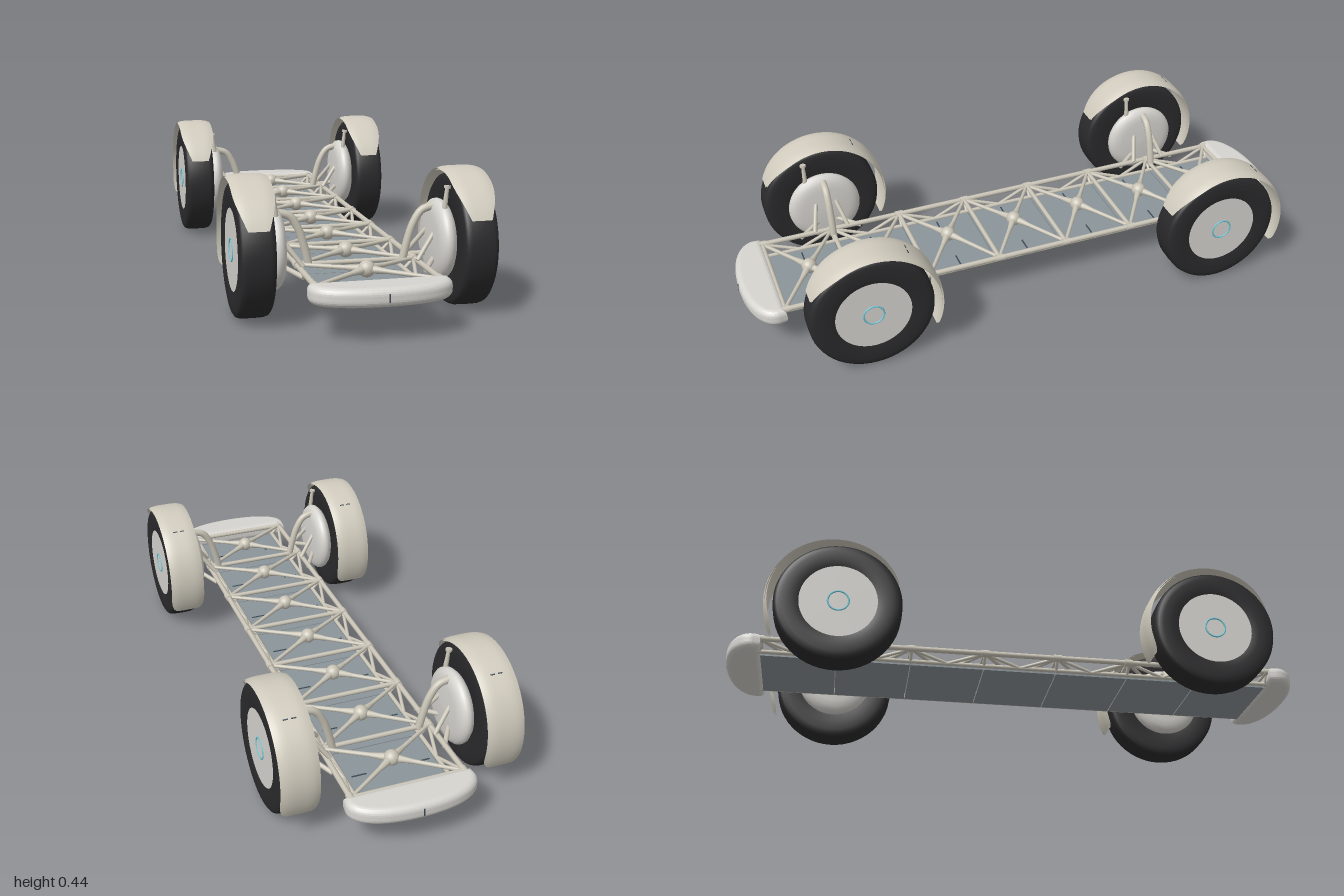
import * as THREE from 'three';

const mat = (color, side = THREE.FrontSide) => new THREE.MeshStandardMaterial({ color, side });
const M = {
  tube: mat(0xc9c4b6), shell: mat(0xd0cbbd, THREE.DoubleSide), hub: mat(0xd6d4cf), tire: mat(0x2a2a2c),
  panel: mat(0x8b9499), slot: mat(0x3f4b55), ring: mat(0x6cc5d6),
};
const V = (x, y, z) => new THREE.Vector3(x, y, z);

function add(parent, name, geo, material, x = 0, y = 0, z = 0) {
  const m = new THREE.Mesh(geo, material);
  m.name = name;
  m.position.set(x, y, z);
  parent.add(m);
  return m;
}

// Round bar between two points, optionally tapered
function rod(parent, name, a, b, r0, r1 = r0) {
  const d = b.clone().sub(a);
  const m = add(parent, name, new THREE.CylinderGeometry(r1, r0, d.length(), 12), M.tube);
  m.position.copy(a).addScaledVector(d, 0.5);
  m.quaternion.setFromUnitVectors(V(0, 1, 0), d.normalize());
  return m;
}

// Turned part about the x axis; points are [radius, distance outwards]
function turned(pts, s) {
  const g = new THREE.LatheGeometry(pts.map(p => new THREE.Vector2(...p)), 56);
  return g.rotateZ(-s * Math.PI / 2);
}

// Curved mudguard sheet: tapered at its front end, rounded at its rear end
function fenderSheet(radius) {
  const g = new THREE.PlaneGeometry(1, 1, 10, 56);
  const p = g.attributes.position;
  const rad = Math.PI / 180;
  for (let i = 0; i < p.count; i++) {
    const u = p.getX(i) * 2;
    const deg = 25 + (p.getY(i) + 0.5) * 183;
    let w = 1;
    if (deg < 62) w = 0.5 + 0.5 * Math.sin((deg - 25) / 37 * Math.PI / 2);
    if (deg > 194) w = 0.72 + 0.28 * Math.sqrt(Math.max(0, 1 - ((deg - 194) / 14) ** 2));
    const r = radius - 0.007 * (u * w) ** 4;
    p.setXYZ(i, u * w * 0.0625, r * Math.sin(deg * rad), r * Math.cos(deg * rad));
  }
  g.computeVertexNormals();
  return g;
}

function createWheel(s) {
  const g = new THREE.Group();
  g.name = 'wheel';
  const R = 0.209;
  add(g, 'tire', turned([[0.1, 0.292], [0.127, 0.289], [0.15, 0.285], [0.18, 0.285], [0.196, 0.287], [0.204, 0.293],
    [0.208, 0.305], [R, 0.339], [0.208, 0.373], [0.204, 0.385], [0.196, 0.39], [0.18, 0.393], [0.15, 0.393],
    [0.127, 0.389], [0.12, 0.386]], s), M.tire);
  const disc = add(g, 'wheelDisc', new THREE.CylinderGeometry(0.127, 0.127, 0.096, 56), M.hub, s * 0.341);
  disc.rotation.z = Math.PI / 2;
  const ring = add(g, 'wheelRing', new THREE.TorusGeometry(0.034, 0.003, 8, 40), M.ring, s * 0.389);
  ring.rotation.y = Math.PI / 2;

  // Domed inboard motor hub
  add(g, 'hubMotor', turned([[0, 0.231], [0.035, 0.232], [0.085, 0.235], [0.105, 0.239], [0.12, 0.246], [0.128, 0.256],
    [0.129, 0.266], [0.126, 0.275], [0.115, 0.286], [0.1, 0.293]], s), M.hub);

  // Mudguard with two small slots
  const fender = new THREE.Group();
  fender.name = 'fender';
  fender.position.set(s * 0.3375, 0, -0.012);
  for (const r of [0.227, 0.222]) add(fender, 'fenderSheet', fenderSheet(r), M.shell);
  for (const x of [-0.013, 0.013]) {
    const slot = add(fender, 'fenderSlot', new THREE.BoxGeometry(0.016, 0.002, 0.004), M.slot, x, 0.191, -0.122);
    slot.rotation.x = -0.57;
  }
  g.add(fender);

  // Steering pin above the hub
  rod(g, 'steeringPin', V(s * 0.262, 0.095, 0.06), V(s * 0.271, 0.175, 0.06), 0.009, 0.006);
  rod(g, 'steeringPinCap', V(s * 0.271, 0.172, 0.06), V(s * 0.272, 0.18, 0.06), 0.011);

  // Suspension
  const arm = new THREE.CatmullRomCurve3([V(s * 0.15, -0.06, 0), V(s * 0.163, -0.005, 0), V(s * 0.183, 0.055, 0),
    V(s * 0.21, 0.095, 0), V(s * 0.248, 0.108, 0)]);
  add(g, 'upperArm', new THREE.TubeGeometry(arm, 24, 0.0125, 14), M.tube);
  for (const k of [-1, 1]) {
    rod(g, 'lowerArm', V(s * 0.19, -0.07, k * 0.11), V(s * 0.243, -0.05, k * 0.03), 0.008);
    rod(g, 'strut', V(s * 0.18, -0.05, k * 0.06), V(s * 0.24, 0.03, k * 0.035), 0.0075);
  }
  return g;
}

// Rounded D-shaped bumper, s = 1 front, -1 back
function createBumper(s) {
  const g = new THREE.Group();
  g.name = s > 0 ? 'frontBumper' : 'rearBumper';
  const sh = new THREE.Shape();
  sh.moveTo(-0.192, 0.9);
  sh.lineTo(0.192, 0.9);
  sh.bezierCurveTo(0.2, 0.935, 0.14, 0.978, 0, 0.978);
  sh.bezierCurveTo(-0.14, 0.978, -0.2, 0.935, -0.192, 0.9);
  const geo = new THREE.ExtrudeGeometry(sh, {
    depth: 0.014, bevelEnabled: true, bevelSize: 0.022, bevelThickness: 0.022, bevelSegments: 6, curveSegments: 24,
  });
  geo.rotateX(Math.PI / 2);
  add(g, 'bumperBody', geo, M.hub, 0, 0.143, 0);
  add(g, 'bumperSlot', new THREE.BoxGeometry(0.004, 0.026, 0.004), M.slot, 0, 0.137, 0.999);
  if (s < 0) g.rotation.y = Math.PI;
  return g;
}

function createFrame() {
  const g = new THREE.Group();
  g.name = 'spaceFrame';
  const bay = 0.2513, end = 3.5 * bay, top = 0.152, low = 0.119;
  for (const s of [-1, 1]) {
    rod(g, 'upperRail', V(s * 0.188, top, -end - 0.02), V(s * 0.188, top, end + 0.02), 0.009);
    rod(g, 'lowerRail', V(s * 0.157, low, -end - 0.02), V(s * 0.157, low, end + 0.02), 0.007);
  }
  // Cross members with collars at the rails
  for (let i = 0; i <= 7; i++) {
    const z = -end + i * bay;
    rod(g, 'crossTube', V(-0.19, top, z), V(0.19, top, z), 0.008);
    for (const s of [-1, 1]) {
      rod(g, 'railCollar', V(s * 0.188, top, z - 0.014), V(s * 0.188, top, z + 0.014), 0.012);
      rod(g, 'sidePost', V(s * 0.188, top, z), V(s * 0.157, low, z), 0.006);
    }
  }
  // Floor panel, central node and bracing of each bay
  for (let i = 0; i < 7; i++) {
    const c = (i - 3) * bay;
    add(g, 'floorPanel', new THREE.BoxGeometry(0.296, 0.01, bay - 0.003), M.panel, 0, 0.114, c);
    add(g, 'centreNode', new THREE.SphereGeometry(0.026, 24, 16), M.tube, 0, 0.16, c);
    for (const s of [-1, 1]) {
      add(g, 'panelSlot', new THREE.BoxGeometry(0.05, 0.002, 0.005), M.slot, s * 0.108, 0.1195, c);
      for (const k of [-1, 1]) {
        const corner = V(s * 0.186, top, c + k * bay / 2);
        const node = V(0, 0.16, c);
        rod(g, 'diagonal', node, corner, 0.008, 0.006);
        rod(g, 'diagonalSleeve', node.clone().lerp(corner, 0.08), node.clone().lerp(corner, 0.32), 0.013, 0.007);
        rod(g, 'sideBrace', corner, V(s * 0.157, low, c), 0.006);
      }
    }
  }
  return g;
}

export function createModel() {
  const model = new THREE.Group();
  model.name = 'rollingChassis';
  model.add(createFrame(), createBumper(1), createBumper(-1));
  for (const s of [-1, 1]) for (const z of [-0.63, 0.63]) {
    const w = createWheel(s);
    w.name = (z > 0 ? 'front' : 'rear') + (s > 0 ? 'Left' : 'Right') + 'Wheel';
    w.position.set(0, 0.21, z);
    model.add(w);
  }
  return model;
}
